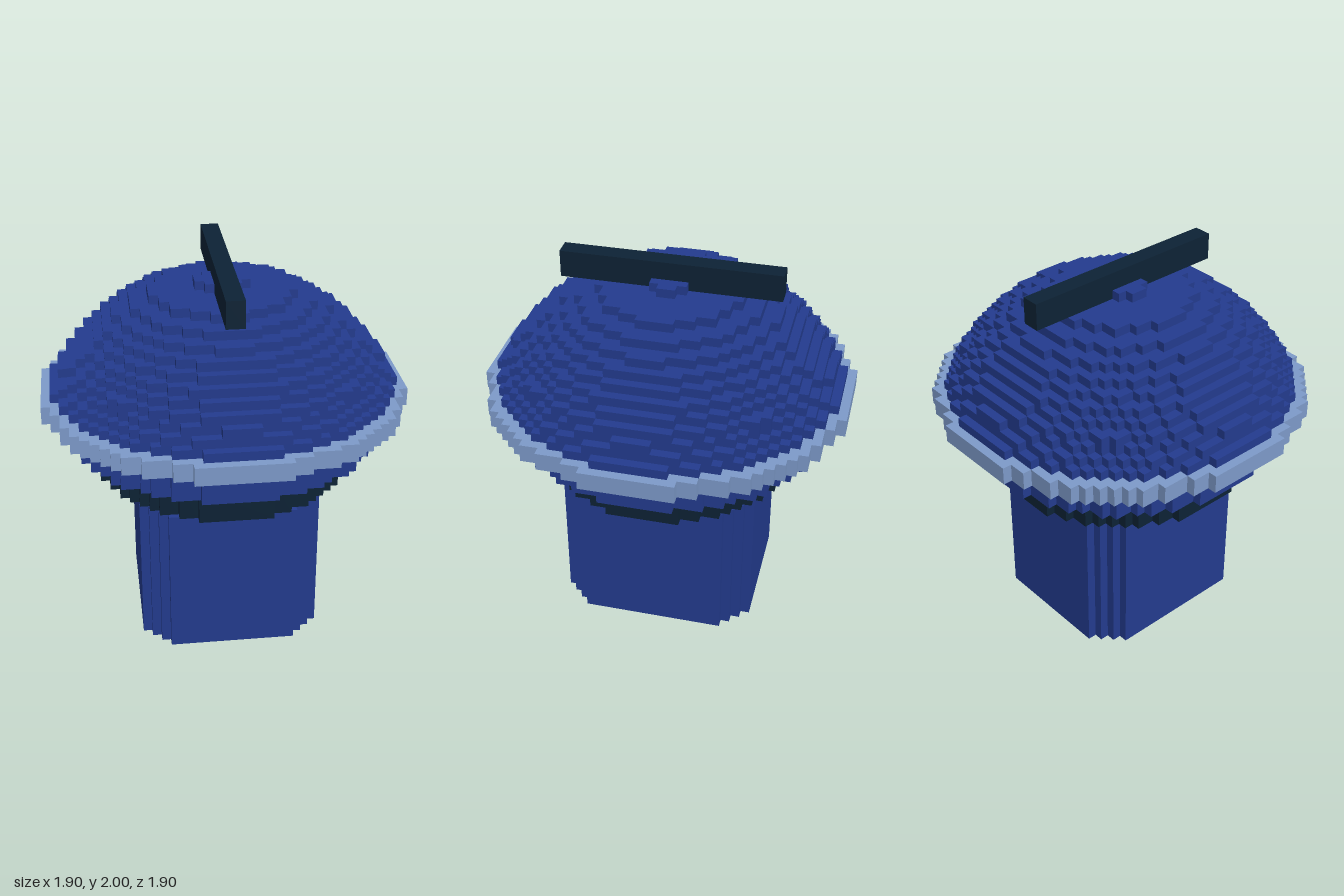
import * as THREE from 'three';

const U = 2 / 42; // size of one block

const flat = (name, color) => {
  const m = new THREE.MeshStandardMaterial({ color });
  m.name = name;
  return m;
};

// Half-depth of each block column of a disc, from the centre outwards
function discColumns(radius) {
  const columns = [];
  for (let x = 0.5; x < radius; x++) {
    const depth = Math.floor(Math.sqrt(radius * radius - x * x) + 0.5);
    if (depth > 0) columns.push(depth);
  }
  return columns;
}

// Columns from runs of [count, half-depth]
const runs = (...list) => list.flatMap(([count, depth]) => Array(count).fill(depth));

// Stepped slab: one quadrant of columns mirrored to four and extruded upwards
function slab(columns, from, to) {
  const q = [];
  columns.forEach((d, i) => {
    if (i > 0 && d !== columns[i - 1]) q.push([i, columns[i - 1]], [i, d]);
  });
  q.push([columns.length, columns[columns.length - 1]]);
  const r = [...q].reverse();
  const outline = [
    ...q,
    ...r.map(([x, y]) => [x, -y]),
    ...q.map(([x, y]) => [-x, -y]),
    ...r.map(([x, y]) => [-x, y]),
  ].map(([x, y]) => new THREE.Vector2(x * U, y * U));
  const geo = new THREE.ExtrudeGeometry(new THREE.Shape(outline), {
    depth: (to - from) * U, bevelEnabled: false,
  });
  geo.rotateX(-Math.PI / 2);
  geo.translate(0, from * U, 0);
  return geo;
}

export function createModel() {
  const model = new THREE.Group();
  model.name = 'domedKnob';
  const blue = flat('deepBlue', 0x233b8e);
  const pale = flat('paleBlue', 0x7d9ac9);
  const dark = flat('darkNavy', 0x0d2235);

  const add = (parent, name, geo, mat) => {
    const mesh = new THREE.Mesh(geo, mat);
    mesh.name = name;
    parent.add(mesh);
  };

  // Post with stepped corners, separated from the head by a one-block gap
  add(model, 'post', slab(runs([7, 11], [1, 10], [1, 9], [1, 8]), 0, 17), blue);

  // Collars below the rim
  add(model, 'lowerCollar', slab(discColumns(14), 18, 22), dark);
  add(model, 'upperCollar', slab(discColumns(17), 22, 26), blue);

  // Pale rim
  const rim = runs([5, 20], [2, 19], [3, 18], [2, 17], [1, 16], [1, 15], [1, 14],
    [1, 13], [1, 12], [1, 10], [1, 7], [1, 5]);
  add(model, 'rim', slab(rim, 26, 28), pale);

  // Dome, one block layer at a time, with a small stepped cap
  const dome = new THREE.Group();
  dome.name = 'dome';
  model.add(dome);
  [18.9, 18.3, 17.6, 17, 16.1, 15.2, 14.2, 13, 11.6, 9.95, 7.9].forEach((radius, i) => {
    add(dome, `domeLayer${i + 1}`, slab(discColumns(radius), 28 + i, 29 + i), blue);
  });
  add(dome, 'domeCap', slab(runs([2, 2], [1, 1]), 39, 40), blue);

  // Bar running front to back across the top
  add(model, 'topBar', slab(runs([1, 12]), 39, 42), dark);

  return model;
}
